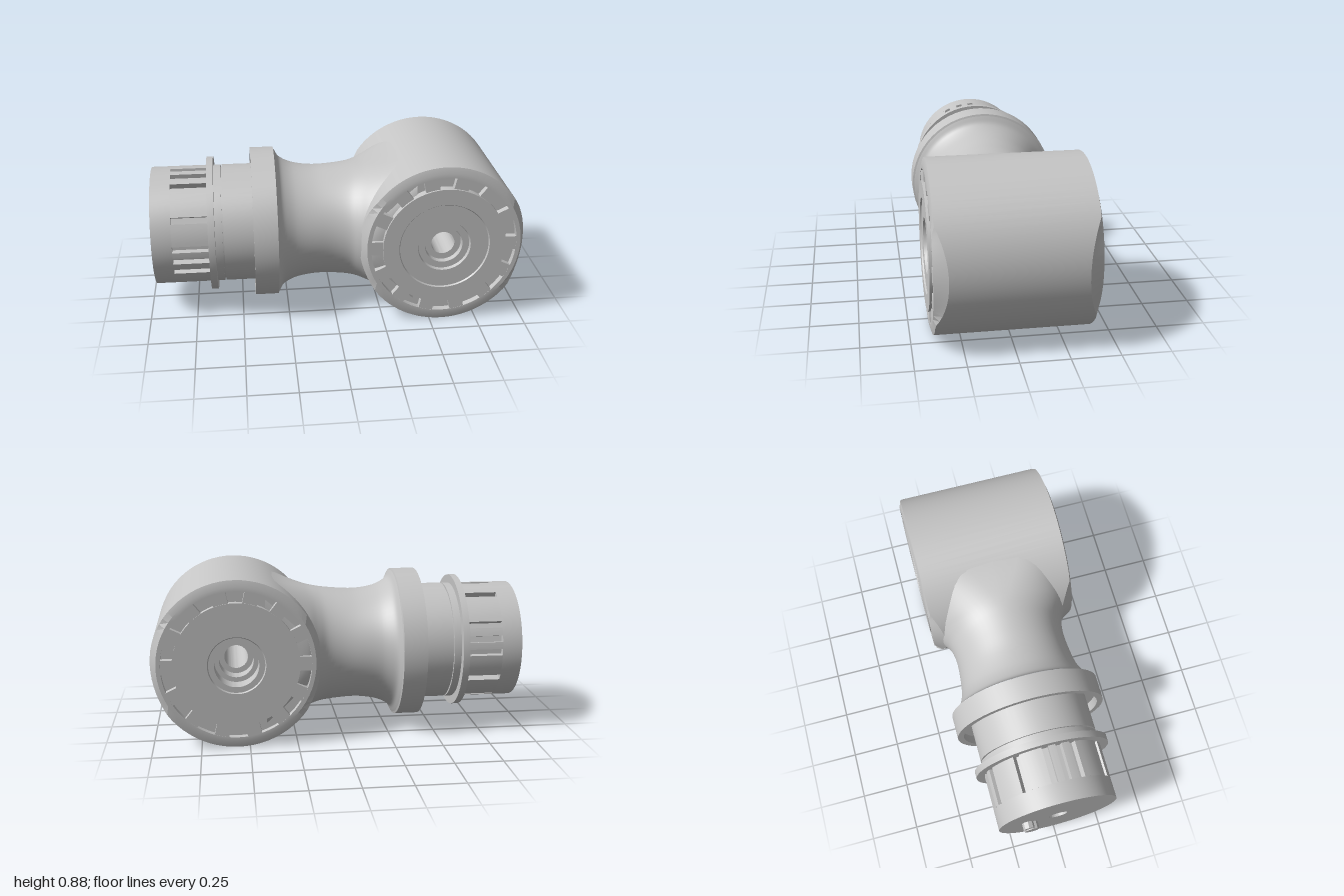
import * as THREE from 'three';
import { toCreasedNormals } from 'three/addons/utils/BufferGeometryUtils.js';

const CY = 0.445; // height of the arm axis
const grey = new THREE.MeshStandardMaterial({ color: 0xc5c5c5 });
grey.name = 'lightGrey';

function addMesh(parent, name, geometry) {
  const mesh = new THREE.Mesh(geometry, grey);
  mesh.name = name;
  parent.add(mesh);
  return mesh;
}

// Revolved profile of [radius, position along axis]; outer walls run upward
function turned(profile, segments = 56) {
  return new THREE.LatheGeometry(profile.map(([r, h]) => new THREE.Vector2(r, h)), segments);
}
const alongX = (profile) => toCreasedNormals(turned(profile), 0.5).rotateZ(-Math.PI / 2);

// Waisted neck: sections of [x, half height, half depth], squarer toward the barrel
function neckGeometry() {
  const sections = [
    [-0.3, 0.395, 0.395], [-0.28, 0.357, 0.365], [-0.25, 0.335, 0.345], [-0.2, 0.315, 0.325],
    [-0.1, 0.3, 0.31], [0, 0.304, 0.306], [0.08, 0.312, 0.32], [0.13, 0.319, 0.35],
    [0.18, 0.328, 0.378], [0.3, 0.362, 0.385], [0.41, 0.408, 0.385],
  ];
  const rings = new THREE.CatmullRomCurve3(sections.map((s) => new THREE.Vector3(...s))).getPoints(44);
  const n = 64, pos = [], index = [];
  const bend = (v, e) => Math.sign(v) * Math.abs(v) ** (2 / e);
  rings.forEach((p, i) => {
    const e = 2 + 4 * THREE.MathUtils.clamp((p.x - 0.1) / 0.31, 0, 1) ** 2;
    for (let j = 0; j < n; j++) {
      const a = (j / n) * Math.PI * 2;
      pos.push(p.x, p.y * bend(Math.cos(a), e), p.z * bend(Math.sin(a), e));
      if (i === rings.length - 1) continue;
      const k = (j + 1) % n, A = i * n, B = A + n;
      index.push(A + j, A + k, B + j, A + k, B + k, B + j);
    }
  });
  const g = new THREE.BufferGeometry();
  g.setAttribute('position', new THREE.Float32BufferAttribute(pos, 3));
  g.setIndex(index);
  g.computeVertexNormals();
  return g;
}

// Barrel with stepped, grooved end caps and a through bore
function barrelGeometry() {
  const g = turned([
    [0.407, -0.4], [0.44, -0.39], [0.44, 0.39], [0.407, 0.4],
    [0.385, 0.4], [0.385, 0.365], [0.325, 0.365], [0.325, 0.41],
    [0.24, 0.41], [0.235, 0.402], [0.14, 0.402], [0.135, 0.385],
    [0.1, 0.385], [0.095, 0.36], [0.062, 0.36],
    [0.062, -0.22], [0.09, -0.22], [0.09, -0.3], [0.115, -0.3], [0.115, -0.395],
    [0.145, -0.395], [0.15, -0.403], [0.325, -0.403], [0.325, -0.365],
    [0.385, -0.365], [0.385, -0.4], [0.407, -0.4],
  ], 72).rotateX(Math.PI / 2);
  // The outer edge is cut back toward both sides
  const p = g.attributes.position;
  for (let i = 0; i < p.count; i++) {
    if (Math.hypot(p.getX(i), p.getY(i)) < 0.43) continue;
    const cut = 0.06 * Math.max(0, (Math.abs(p.getX(i)) / 0.44 - 0.81) / 0.19);
    p.setZ(i, p.getZ(i) - Math.sign(p.getZ(i)) * cut);
  }
  return toCreasedNormals(g, 0.3);
}

// Plug section with lengthwise slots
function slottedGeometry() {
  const R = 0.318, inner = 0.285, half = 0.055, points = [], slots = [];
  const put = (r, a) => points.push(new THREE.Vector2(r * Math.cos(a), r * Math.sin(a)));
  for (let q = 0; q < 4; q++) {
    for (const d of [13, 27, 62, 90]) slots.push(THREE.MathUtils.degToRad(q * 90 + d));
  }
  slots.forEach((a, i) => {
    put(R, a - half); put(inner, a - half); put(inner, a + half); put(R, a + half);
    const next = i + 1 < slots.length ? slots[i + 1] : slots[0] + Math.PI * 2;
    const gap = next - a - 2 * half;
    for (let k = 1; k < 5; k++) put(R, a + half + (gap * k) / 5);
  });
  const g = new THREE.ExtrudeGeometry(new THREE.Shape(points), { depth: 0.19, bevelEnabled: false });
  return toCreasedNormals(g.rotateY(Math.PI / 2).translate(-0.855, 0, 0), 0.5);
}

export function createModel() {
  const model = new THREE.Group();
  model.name = 'pipeElbowJoint';

  const barrel = new THREE.Group();
  barrel.name = 'barrel';
  barrel.position.set(0.56, 0.44, 0);
  model.add(barrel);
  addMesh(barrel, 'barrelBody', barrelGeometry());

  // Ribs dividing each cap groove into pockets
  for (const side of [1, -1]) {
    for (let i = 0; i < 14; i++) {
      const a = (i / 14) * Math.PI * 2;
      const rib = addMesh(barrel, 'capRib', new THREE.BoxGeometry(0.064, 0.075, 0.036));
      rib.position.set(0.355 * Math.cos(a), 0.355 * Math.sin(a), side * 0.381);
      rib.rotation.z = a;
    }
  }

  const arm = new THREE.Group();
  arm.name = 'arm';
  arm.position.y = CY;
  model.add(arm);
  addMesh(arm, 'neck', neckGeometry());
  addMesh(arm, 'collar', alongX([
    [0.31, -0.385], [0.372, -0.385], [0.372, -0.43], [0.405, -0.43], [0.405, -0.305], [0.34, -0.285],
  ]));
  addMesh(arm, 'sleeve', alongX([
    [0.29, -0.62], [0.305, -0.62], [0.305, -0.585], [0.318, -0.585], [0.318, -0.37],
  ]));
  addMesh(arm, 'flange', alongX([
    [0.28, -0.665], [0.363, -0.665], [0.363, -0.63], [0.318, -0.63], [0.318, -0.592], [0.28, -0.592],
  ]));
  addMesh(arm, 'slottedPlug', slottedGeometry());
  // Plug end with a blind centre hole
  addMesh(arm, 'plugEnd', alongX([
    [0, -0.86], [0.05, -0.86], [0.05, -0.96], [0.318, -0.96], [0.318, -0.855], [0.28, -0.855],
  ]));

  // Small contact cluster on the plug end
  for (const [y, z, r, len] of [[-0.075, -0.155, 0.035, 0.03], [-0.02, -0.15, 0.04, 0.04], [0.015, -0.165, 0.03, 0.035]]) {
    const pin = addMesh(arm, 'contactPin', toCreasedNormals(new THREE.CylinderGeometry(r, r, len, 8), 0.5));
    pin.rotation.z = Math.PI / 2;
    pin.position.set(-0.96 - len / 2, y, z);
  }
  return model;
}
